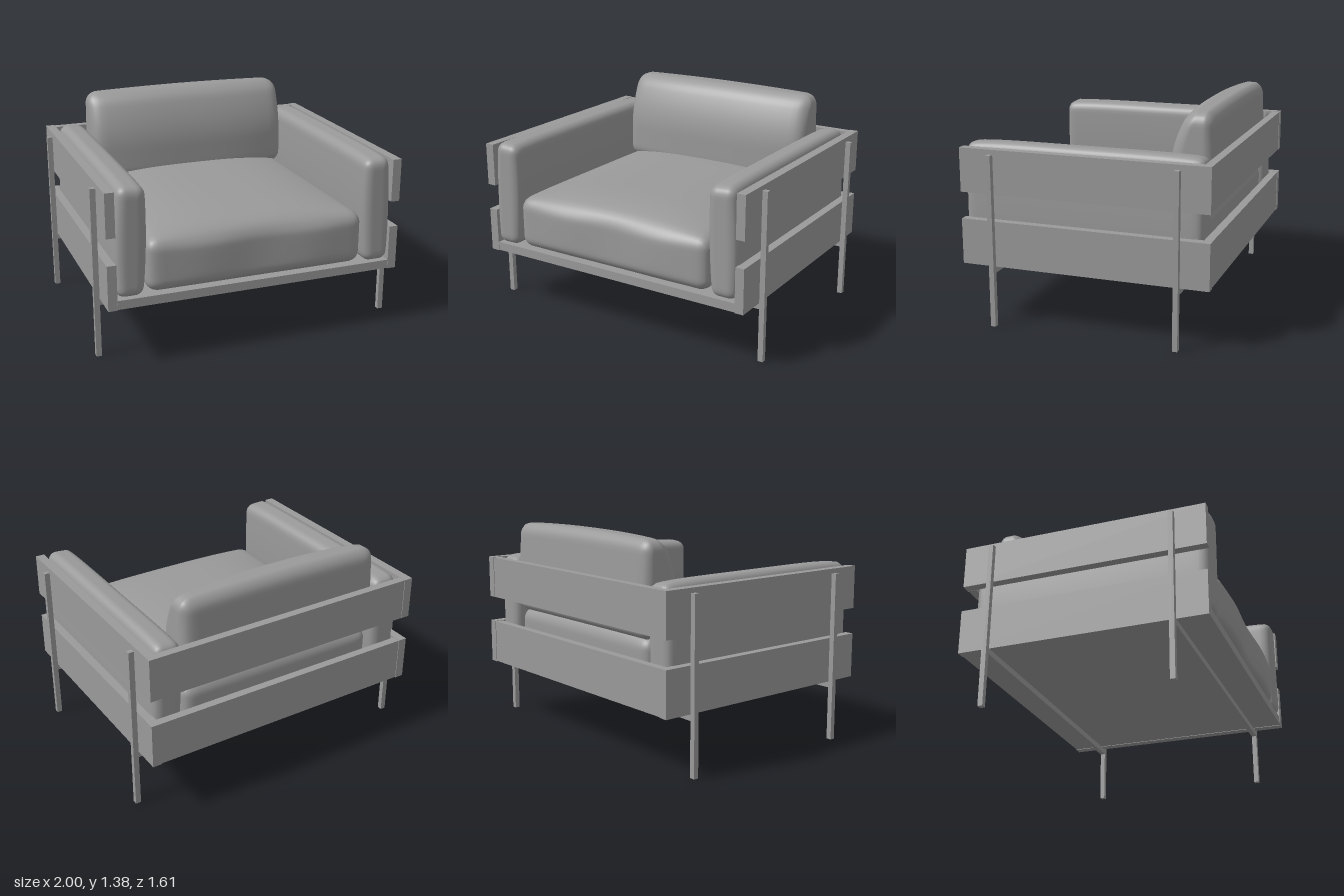
import * as THREE from 'three';
import { mergeVertices } from 'three/addons/utils/BufferGeometryUtils.js';

const material = new THREE.MeshStandardMaterial({ color: 0x9a9a9a });

// Box given by its minimum and maximum on each axis
function board(name, [x0, x1], [y0, y1], [z0, z1]) {
  const mesh = new THREE.Mesh(new THREE.BoxGeometry(x1 - x0, y1 - y0, z1 - z0), material);
  mesh.position.set((x0 + x1) / 2, (y0 + y1) / 2, (z0 + z1) / 2);
  mesh.name = name;
  return mesh;
}

// Smooth rounded box; deform(p, u) shifts each point, u being its -1..1 place in the box
function cushion(name, [w, h, d], radius, [cx, cy, cz], deform) {
  let geo = new THREE.BoxGeometry(2, 2, 2, 28, 28, 28);
  const pos = geo.attributes.position;
  const half = new THREE.Vector3(w / 2, h / 2, d / 2);
  const inner = half.clone().subScalar(radius);
  const p = new THREE.Vector3(), core = new THREE.Vector3(), u = new THREE.Vector3();
  for (let i = 0; i < pos.count; i++) {
    p.fromBufferAttribute(pos, i);
    // gather the grid lines towards the rounded edges
    p.set(...p.toArray().map((v) => Math.sin((v * Math.PI) / 2))).multiply(half);
    core.copy(p).clamp(inner.clone().negate(), inner);
    p.sub(core).setLength(radius).add(core);
    u.copy(p).divide(half);
    deform(p, u);
    pos.setXYZ(i, p.x, p.y, p.z);
  }
  geo.deleteAttribute('normal');
  geo.deleteAttribute('uv');
  geo = mergeVertices(geo, 1e-5);
  geo.computeVertexNormals();
  const mesh = new THREE.Mesh(geo, material);
  mesh.position.set(cx, cy, cz);
  mesh.name = name;
  return mesh;
}

// Bulge that is 1 in the middle and 0 at t = -1 and 1; a higher n keeps it flatter
const dome = (t, n) => 1 - Math.min(1, Math.abs(t)) ** n;

export function createModel() {
  const model = new THREE.Group();
  model.name = 'armchair';

  // Base panel, reaching under the lower back plank
  model.add(board('basePanel', [-0.904, 0.904], [0.386, 0.443], [-0.8, 0.783]));

  // Two rows of planks around the sides and back
  for (const [row, bottom, backBottom, top] of [['lower', 0.383, 0.443, 0.672], ['upper', 0.842, 0.842, 1.12]]) {
    model.add(board(row + 'BackPlank', [-0.904, 0.904], [backBottom, top - 0.002], [-0.8, -0.748]));
    model.add(board(row + 'LeftPlank', [0.905, 0.963], [bottom, top], [-0.803, 0.785]));
    model.add(board(row + 'RightPlank', [-0.963, -0.905], [bottom, top], [-0.803, 0.785]));
  }

  // Slim legs joined by a bar under the base
  for (const [end, z] of [['front', 0.575], ['back', -0.608]]) {
    const depth = [z - 0.016, z + 0.016];
    model.add(board(end + 'LeftLeg', [0.965, 1], [0, 1.09], depth));
    model.add(board(end + 'RightLeg', [-1, -0.965], [0, 1.09], depth));
    model.add(board(end + 'CrossBar', [-0.965, 0.965], [0.345, 0.383], depth));
  }

  // Seat cushion: crowned top, front swelling near the corners
  model.add(cushion('seatCushion', [1.41, 0.34, 1.51], 0.075, [0, 0.62, 0.03], (p, u) => {
    const top = THREE.MathUtils.smoothstep(u.y, -0.2, 0.9);
    p.y += top * 0.072 * dome(u.x, 3) * dome(u.z, 6);
    if (u.z > 0) p.z += 0.018 * u.z ** 8 * Math.sin(Math.abs(u.x) * Math.PI) ** 2 * dome(u.y, 4);
    p.x += 0.01 * u.x * u.z;
  }));

  // Back cushion: full at the bottom, front curving back towards a narrow top
  model.add(cushion('backCushion', [1.41, 0.59, 0.28], 0.075, [0, 1.072, -0.605], (p, u) => {
    const front = THREE.MathUtils.smoothstep(u.z, -1, 1);
    const rise = Math.max(0, u.y + 0.25) / 1.25;
    p.z += front * (-0.008 + 0.053 * dome(u.x, 3) - 0.115 * rise ** 2);
    p.z += (1 - front) * 0.015 * Math.max(0, u.y);
    if (u.y > 0) p.y += 0.014 * u.y * dome(u.x, 2);
    p.x -= 0.004 * u.x * u.y;
  }));

  // Arm cushions, leaning slightly inwards, tops falling towards the seat
  for (const [side, s] of [['left', 1], ['right', -1]]) {
    model.add(cushion(side + 'ArmCushion', [0.17, 0.685, 1.535], 0.055, [s * 0.809, 0.79, 0.022], (p, u) => {
      p.x += s * -0.01 * u.y + 0.014 * u.x * dome(u.y, 2);
      if (u.y > 0) p.y += u.y * (0.014 * dome(u.z, 6) + 0.006 * s * u.x);
    }));
  }

  return model;
}
